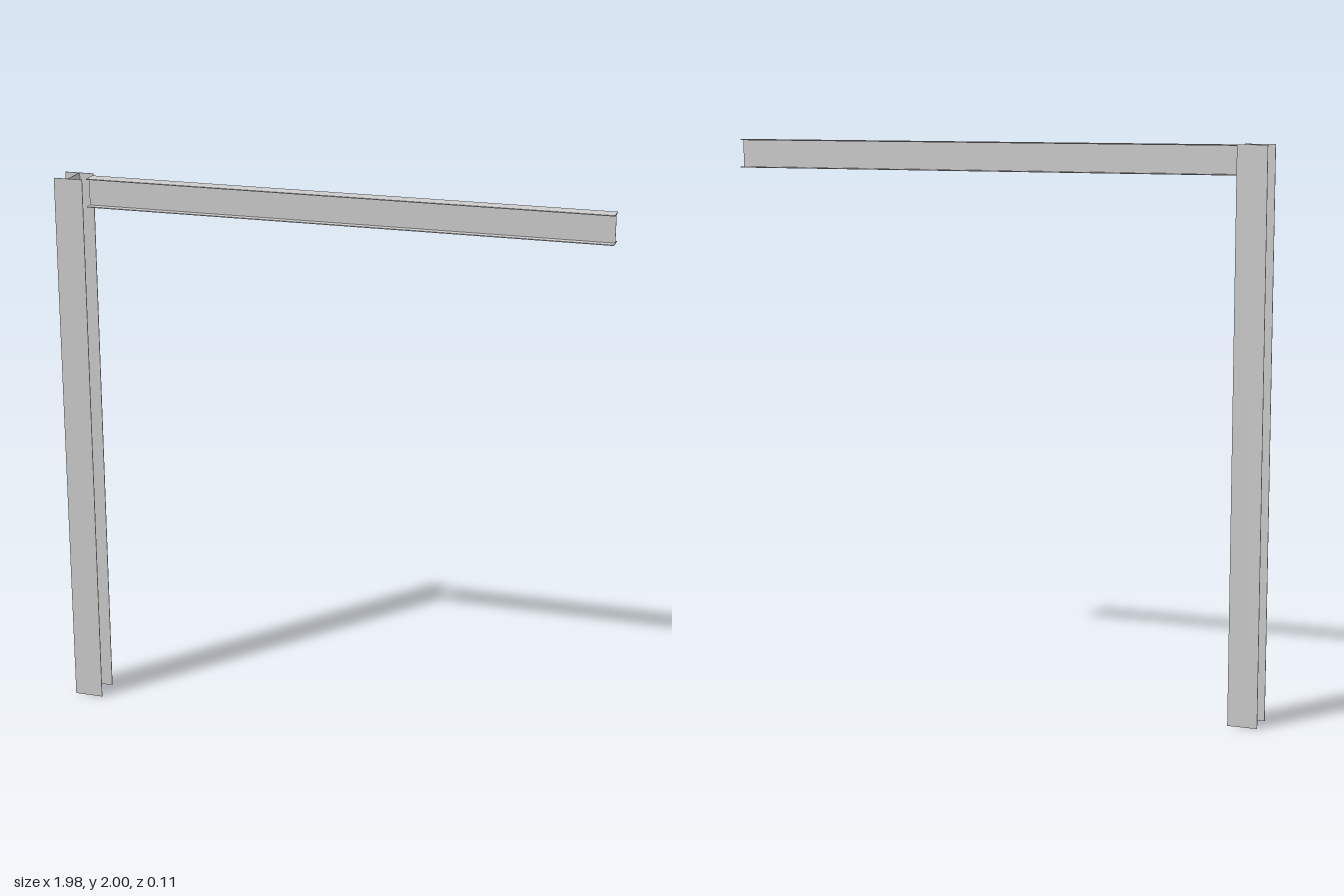
import * as THREE from 'three';

const material = new THREE.MeshStandardMaterial({ color: 0xcccccc, flatShading: true });

// Thin-walled I section (width across the flanges, depth over them), extruded along z
function iBeam(name, width, depth, length, flange, web) {
  const w = width / 2, d = depth / 2, t = web / 2, f = d - flange;
  const outline = [
    [-w, -d], [w, -d], [w, -f], [t, -f], [t, f], [w, f],
    [w, d], [-w, d], [-w, f], [-t, f], [-t, -f], [-w, -f],
  ].map(([x, y]) => new THREE.Vector2(x, y));
  const geometry = new THREE.ExtrudeGeometry(new THREE.Shape(outline), { depth: length, bevelEnabled: false });
  const mesh = new THREE.Mesh(geometry, material);
  mesh.name = name;
  return mesh;
}

export function createModel() {
  const group = new THREE.Group();
  group.name = 'steelFrame';

  // Upright column, flanges facing front and back
  const column = iBeam('column', 0.106, 0.106, 2, 0.003, 0.003);
  column.rotation.x = -Math.PI / 2;
  column.position.set(-0.937, 0, 0);
  group.add(column);

  // Horizontal beam, flanges at top and bottom, set just clear of the column
  const beam = iBeam('beam', 0.058, 0.102, 1.868, 0.003, 0.003);
  beam.rotation.y = Math.PI / 2;
  beam.position.set(-0.879, 1.947, -0.001);
  group.add(beam);

  return group;
}
